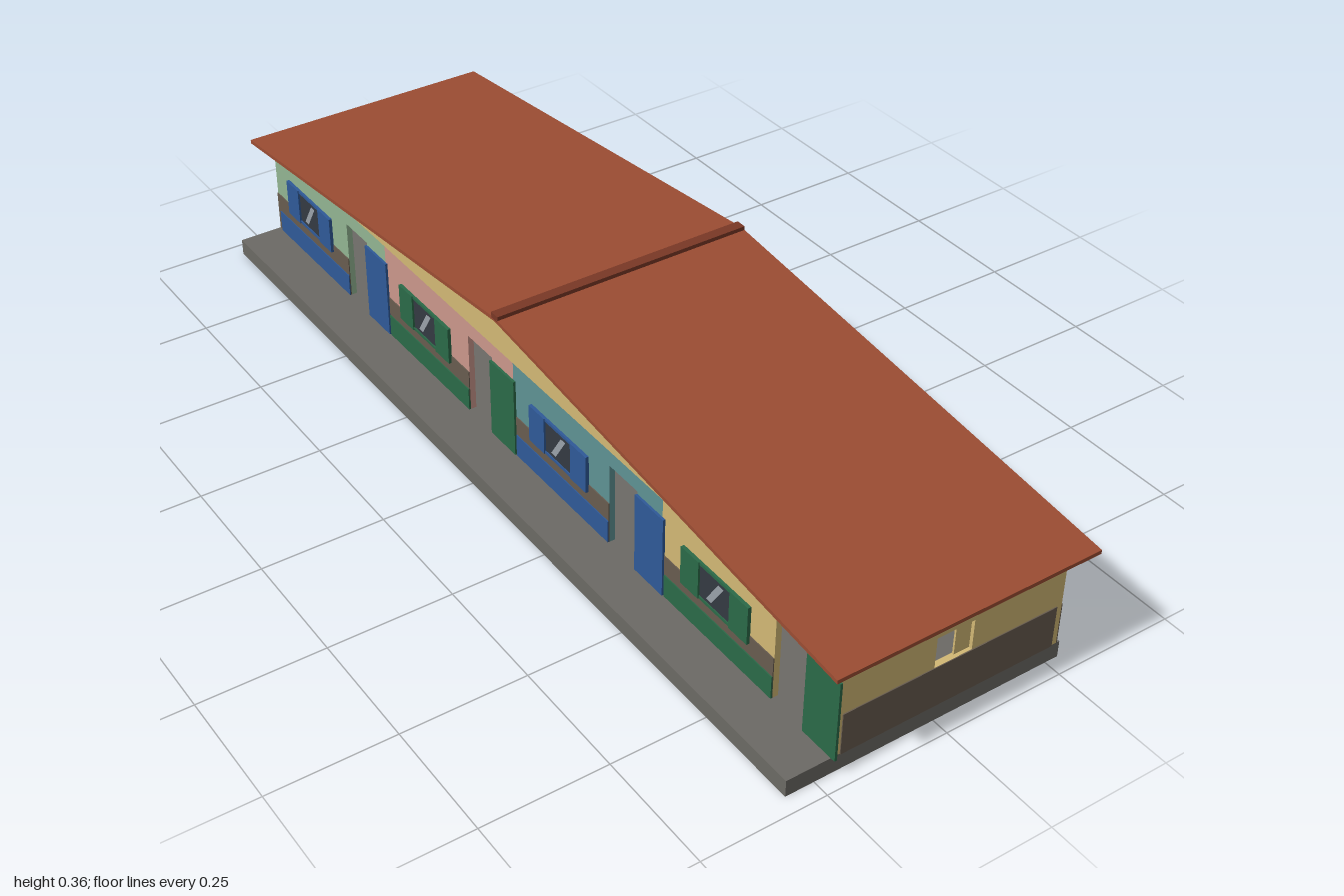
import * as THREE from 'three';

const C = {
  slab: 0x6c6a65, cream: 0xd2b875, teal: 0x5f9294, pink: 0xcb978b, mint: 0x92b592,
  band: 0x685c4f, roof: 0x9c4d33, trim: 0x7a3826, blue: 0x2f5a98, green: 0x2b6a48,
  glass: 0x343a42, shine: 0x9aa2aa,
};
const mats = {};
for (const k in C) mats[k] = new THREE.MeshStandardMaterial({ color: C[k], flatShading: true });

// Box given by its extents
function box(parent, name, mat, x0, x1, y0, y1, z0, z1) {
  const m = new THREE.Mesh(new THREE.BoxGeometry(x1 - x0, y1 - y0, z1 - z0), mats[mat]);
  m.position.set((x0 + x1) / 2, (y0 + y1) / 2, (z0 + z1) / 2);
  m.name = name;
  parent.add(m);
  return m;
}

// Profile in (z, y), extruded along x from x0 to x1
function profile(parent, name, mat, pts, x0, x1) {
  const shape = new THREE.Shape(pts.map(([z, y]) => new THREE.Vector2(-z, y)));
  const g = new THREE.ExtrudeGeometry(shape, { depth: x1 - x0, bevelEnabled: false });
  g.rotateY(Math.PI / 2).translate(x0, 0, 0);
  const m = new THREE.Mesh(g, mats[mat]);
  m.name = name;
  parent.add(m);
}

const L = 0.965, UNIT = L / 2, T = 0.012;        // half length, unit length, wall thickness
const XR = 0.27, XL = -0.212;                    // outer faces of the long walls
const FLOOR = 0.035, BAND = 0.123, EAVE = 0.24, DOOR = 0.208;
const under = z => 0.347 - 0.107 * Math.abs(z);  // underside of the roof

// Window facing +z with shutters, glass and a diagonal glint
function makeWindow(mat, width) {
  const g = new THREE.Group();
  const pane = width * 0.23;
  for (const s of [-1, 1]) {
    const a = s * pane, b = s * width / 2;
    box(g, 'shutter', mat, Math.min(a, b), Math.max(a, b), -0.04, 0.04, 0, 0.007);
  }
  for (const s of [-1, 1]) box(g, 'windowRail', mat, -pane, pane, s * 0.037 - 0.003, s * 0.037 + 0.003, 0, 0.005);
  box(g, 'glass', 'glass', -pane, pane, -0.034, 0.034, 0, 0.003);
  const s = new THREE.Shape([[-0.024, -0.026], [-0.009, -0.026], [0.024, 0.026], [0.009, 0.026]]
    .map(p => new THREE.Vector2(...p)));
  const glint = new THREE.Mesh(new THREE.ShapeGeometry(s), mats.shine);
  glint.position.z = 0.004;
  glint.name = 'glassGlint';
  g.add(glint);
  g.name = 'window';
  return g;
}

// One dwelling: two long walls with doorways, windows, open door and skirting
function makeUnit(wall, accent, z0) {
  const g = new THREE.Group();
  g.name = 'dwelling';
  const z1 = z0 + UNIT, d0 = z0 + 0.32, d1 = z0 + 0.407;
  for (const [x0, out] of [[XR - T, 1], [XL, -1]]) {
    const x1 = x0 + T, face = out > 0 ? x1 : x0;
    const b0 = Math.min(face, face + out * 0.002), b1 = b0 + 0.002;
    for (const [a, b] of [[z0, d0], [d1, z1]]) {
      box(g, 'sideWall', wall, x0, x1, FLOOR, EAVE, a, b);
      box(g, 'sideBand', 'band', b0, b1, FLOOR, BAND, a, b);
    }
    box(g, 'doorLintel', wall, x0, x1, DOOR, EAVE, d0, d1);
    const w = makeWindow(accent, out > 0 ? 0.165 : 0.19);
    w.position.set(face + out * 0.001, 0.147, z0 + (out > 0 ? 0.133 : 0.16));
    w.rotation.y = out * Math.PI / 2;
    g.add(w);
  }
  box(g, 'openDoor', accent, XL - 0.006, XL - 0.001, FLOOR, DOOR - 0.004, d1, d1 + 0.085);
  box(g, 'lowPanel', accent, XL - 0.004, XL, FLOOR, 0.083, z0 + 0.012, d0);
  return g;
}

// End wall with a small opening, half closed by a panel
function makeEnd(s, panel) {
  const g = new THREE.Group();
  g.name = s > 0 ? 'frontWall' : 'backWall';
  const a = XL + T, b = XR - T, o0 = -0.01, o1 = 0.07, top = 0.187, h = under(L);
  const zo = s * L, zi = s * (L - T), z0 = Math.min(zo, zi), z1 = Math.max(zo, zi);
  box(g, 'endWall', 'cream', a, b, FLOOR, BAND, z0, z1);
  box(g, 'endWall', 'cream', a, o0, BAND, h, z0, z1);
  box(g, 'endWall', 'cream', o1, b, BAND, h, z0, z1);
  box(g, 'endLintel', 'cream', o0, o1, top, h, z0, z1);
  const zp = s * (L - 0.009);
  box(g, 'openingPanel', panel, 0.037, o1, BAND, top, zp - 0.002, zp + 0.002);
  box(g, 'endBand', 'band', a, b, FLOOR, BAND, zo - 0.002, zo + 0.002);
  return g;
}

export function createModel() {
  const model = new THREE.Group();
  model.name = 'rowHouse';

  // Slab with a walkway along one side
  box(model, 'baseSlab', 'slab', -0.308, 0.278, 0, FLOOR, -L, L);

  // Four dwellings from back to front
  const units = [['mint', 'blue'], ['pink', 'green'], ['teal', 'blue'], ['cream', 'green']];
  units.forEach(([wall, accent], i) => {
    const z0 = -L + i * UNIT;
    model.add(makeUnit(wall, accent, z0));
    // Partition between neighbours
    if (i > 0) box(model, 'partition', units[i - 1][0], XL + T, XR - T, FLOOR, under(z0) - 0.005, z0 - T / 2, z0 + T / 2);
  });
  model.add(makeEnd(1, 'cream'), makeEnd(-1, 'mint'));

  // Gables above both long walls
  const gable = [[-L, EAVE], [-L, under(L)], [0, under(0)], [L, under(L)], [L, EAVE]];
  profile(model, 'gable', 'cream', gable, XR - T, XR);
  profile(model, 'gable', 'cream', gable, XL, XL + T);

  // Roof slopes, eave trims and ridge cap
  const X0 = -0.248, X1 = 0.307, H = 0.008;
  for (const s of [-1, 1]) {
    profile(model, 'roofSlope', 'roof',
      [[0, under(0)], [s, under(1)], [s, under(1) + H], [0, under(0) + H]], X0, X1);
  }
  profile(model, 'ridgeCap', 'trim',
    [[-0.011, 0.35], [0.011, 0.35], [0.011, 0.362], [-0.011, 0.362]], X0, X1);
  return model;
}
